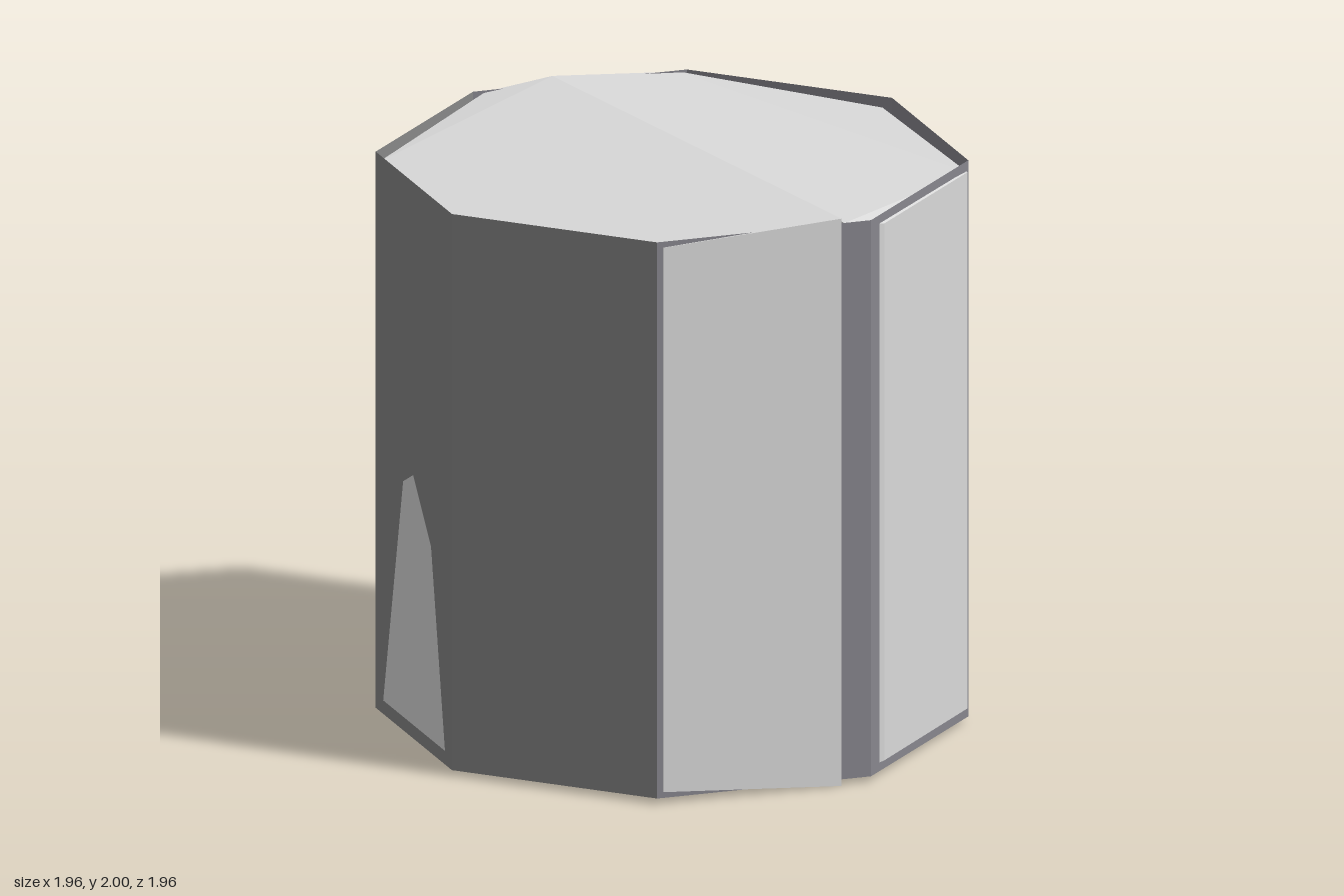
import * as THREE from 'three';

const paleGrey = new THREE.MeshStandardMaterial({ color: 0xd9d9d9 });
const slateGrey = new THREE.MeshStandardMaterial({ color: 0x87868d, side: THREE.DoubleSide });
const midGrey = new THREE.MeshStandardMaterial({ color: 0x878787, side: THREE.DoubleSide });
paleGrey.name = 'paleGrey';
slateGrey.name = 'slateGrey';
midGrey.name = 'midGrey';

// Solid half with ridged caps. Ring points run counter-clockwise from above:
// [x, z, extra drop of the cap, x at the bottom, z at the bottom]
function halfBlock(name, ring, fan) {
  const top = [], bottom = [], pos = [];
  for (const [x, z, drop = 0, bx = x, bz = z] of ring) {
    const fall = 0.065 * Math.abs(x - 0.095) + drop;
    top.push([x, 2 - fall, z]);
    bottom.push([bx, fall, bz]);
  }
  const n = ring.length;
  for (let i = 0; i < n; i++) {
    const j = (i + 1) % n;
    pos.push(...bottom[i], ...bottom[j], ...top[j], ...bottom[i], ...top[j], ...top[i]);
    if (i !== fan && j !== fan) {
      pos.push(...top[fan], ...top[i], ...top[j]);
      pos.push(...bottom[fan], ...bottom[j], ...bottom[i]);
    }
  }
  const geo = new THREE.BufferGeometry();
  geo.setAttribute('position', new THREE.Float32BufferAttribute(pos, 3));
  geo.computeVertexNormals();
  const mesh = new THREE.Mesh(geo, paleGrey);
  mesh.name = name;
  return mesh;
}

// Run of flat walls of the eight-sided open shell
function shellWalls(name, material, startDegrees, faces) {
  const rad = THREE.MathUtils.degToRad;
  const geo = new THREE.CylinderGeometry(1, 1, 1.96, faces, 1, true, rad(startDegrees), rad(45 * faces)).toNonIndexed();
  geo.computeVertexNormals();
  const mesh = new THREE.Mesh(geo, material);
  mesh.name = name;
  mesh.position.y = 1;
  return mesh;
}

// Flat pale area lying on one wall of the shell
function wallPatch(name, degrees, points) {
  const shape = new THREE.Shape(points.map(([x, y]) => new THREE.Vector2(x, y)));
  const geo = new THREE.ShapeGeometry(shape);
  geo.translate(0, 0, 0.9265);
  geo.rotateY(THREE.MathUtils.degToRad(degrees));
  const mesh = new THREE.Mesh(geo, paleGrey);
  mesh.name = name;
  return mesh;
}

export function createModel() {
  const model = new THREE.Group();
  model.name = 'splitOctagonalDrum';

  // Open eight-sided shell in two greys
  model.add(shellWalls('leftShell', slateGrey, -33.5, 5));
  model.add(shellWalls('rightShell', midGrey, 191.5, 3));

  // Two halves separated by a tapering slot; the right one stands slightly proud
  model.add(halfBlock('rightHalf', [
    [0.09, -0.945], [-0.15, -0.98, 0.012, 0.0, -0.94], [-0.25, -0.935, 0.025], [-0.82, -0.555],
    [-0.955, 0.215], [-0.53, 0.84], [0.09, 0.97],
  ], 3));
  model.add(halfBlock('leftHalf', [
    [0.11, 0.955, 0.022], [0.275, 0.94, 0.042], [0.82, 0.57, 0.008], [0.955, -0.22],
    [0.53, -0.85], [0.091, -0.945],
  ], 2));

  // Pale areas showing through the back walls
  model.add(wallPatch('backLeftWallPatch', 124,
    [[-0.36, 0.07], [0.32, 0.07], [0.2, 1.05], [0, 1.5], [-0.36, 1.6]]));
  model.add(wallPatch('rightWallPatch', 259,
    [[-0.3, 0.07], [0.32, 0.07], [0.18, 0.75], [0, 0.95], [-0.1, 0.9]]));
  return model;
}
